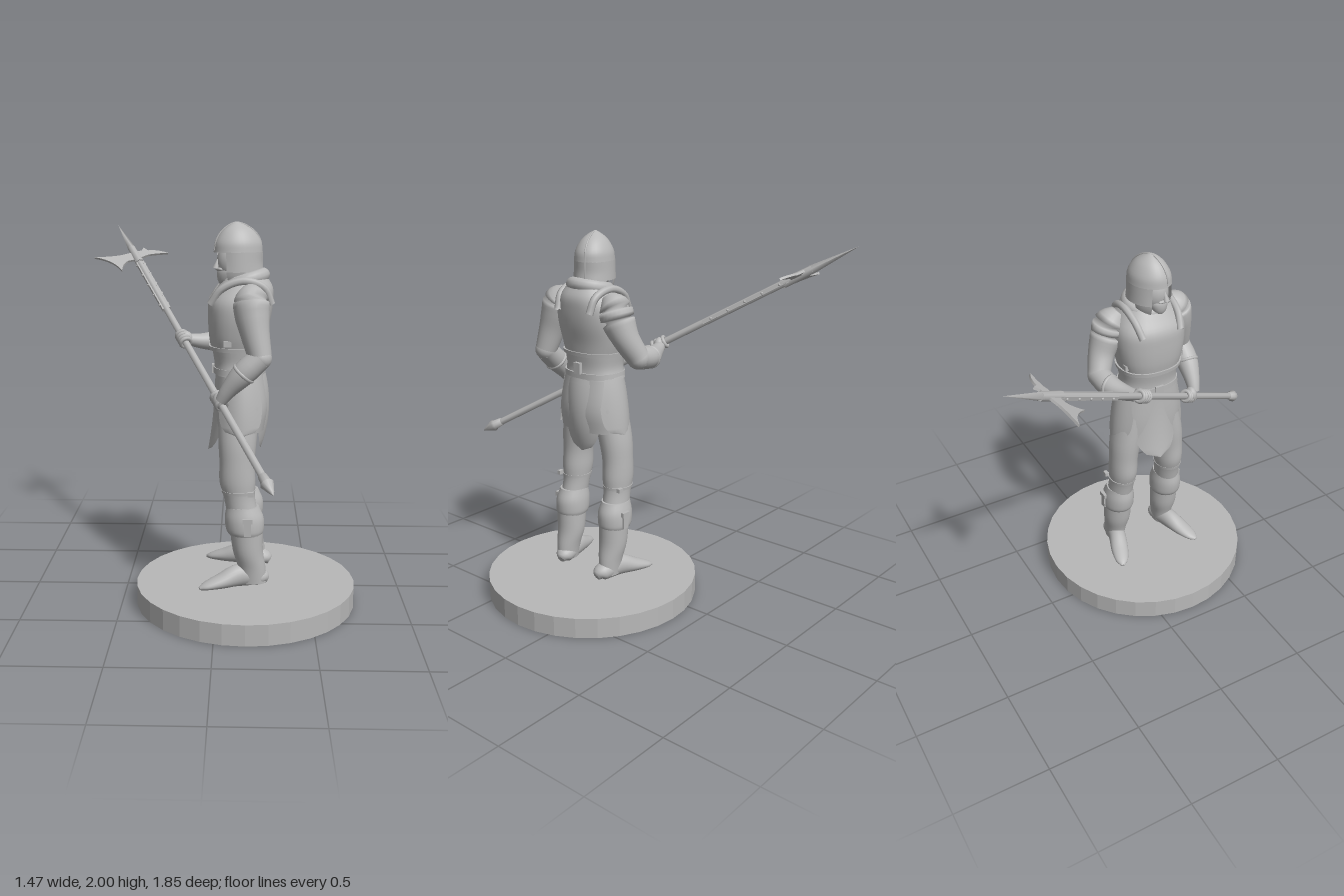
import * as THREE from 'three';

const steel = new THREE.MeshStandardMaterial({ color: 0xb8b8b8, side: THREE.DoubleSide });
steel.name = 'plain grey';

const V = (x, y, z) => new THREE.Vector3(x, y, z);
const UP = V(0, 1, 0);
const BODY_Z = 0.185;

function add(parent, name, geometry, pos) {
  const mesh = new THREE.Mesh(geometry, steel);
  mesh.name = name;
  if (pos) mesh.position.set(...pos);
  parent.add(mesh);
  return mesh;
}

// Smooth skin over elliptical sections [x, y, z, ru, rv]; flat rings (listed bottom up) or rings along the path
function loft(sections, { along = false, from = 0, to = Math.PI * 2, caps = true, sides = 24, square = 1, steps = 4 } = {}) {
  const closed = to - from > 6.28;
  const centre = new THREE.CatmullRomCurve3(sections.map(s => V(s[0], s[1], s[2])), false, 'catmullrom', 0.5);
  const radius = new THREE.CatmullRomCurve3(sections.map(s => V(s[3], s[4] ?? s[3], 0)), false, 'catmullrom', 0.5);
  const rows = (sections.length - 1) * steps, cols = closed ? sides : sides + 1;
  const pos = [], index = [];
  const soft = c => Math.sign(c) * Math.pow(Math.abs(c), square);
  for (let i = 0; i <= rows; i++) {
    const c = centre.getPoint(i / rows), r = radius.getPoint(i / rows);
    let u = V(1, 0, 0), v = V(0, 0, 1);
    if (along) {
      const t = centre.getTangent(i / rows);
      u = V().crossVectors(t, Math.abs(t.y) > 0.93 ? V(1, 0, 0) : UP).normalize();
      v = V().crossVectors(u, t);
    }
    for (let j = 0; j < cols; j++) {
      const a = from + (to - from) * j / sides;
      const p = c.clone().addScaledVector(u, Math.max(r.x, 0) * soft(Math.cos(a))).addScaledVector(v, Math.max(r.y, 0) * soft(Math.sin(a)));
      pos.push(p.x, p.y, p.z);
    }
  }
  for (let i = 0; i < rows; i++) for (let j = 0; j < sides; j++) {
    const a = i * cols + j, b = i * cols + (j + 1) % cols, c = a + cols, d = b + cols;
    index.push(a, c, b, b, c, d);
  }
  if (caps && closed) for (const row of [0, rows]) {
    const base = pos.length / 3, c = centre.getPoint(row / rows);
    pos.push(...pos.slice(row * cols * 3, (row + 1) * cols * 3), c.x, c.y, c.z);
    for (let j = 0; j < cols; j++) {
      const a = base + j, b = base + (j + 1) % cols;
      index.push(base + cols, ...(row ? [b, a] : [a, b]));
    }
  }
  const g = new THREE.BufferGeometry();
  g.setAttribute('position', new THREE.Float32BufferAttribute(pos, 3));
  g.setIndex(index);
  g.computeVertexNormals();
  return g;
}

// Curved hanging plate facing local +x, with a rounded lower edge
function flapGeometry(top, mid, bottom, y0, y1, width, power) {
  const g = new THREE.PlaneGeometry(2, 1, 10, 14), p = g.attributes.position;
  for (let i = 0; i < p.count; i++) {
    const s = p.getX(i), v = 0.5 - p.getY(i);
    const w = width * (0.8 + 0.35 * Math.min(v * 2, 1)) * Math.sqrt(Math.max(0, 1 - Math.pow(v, power)));
    const out = (1 - v) ** 2 * top + 2 * v * (1 - v) * mid + v * v * bottom;
    p.setXYZ(i, out - 0.045 * (s * w / width) ** 2, y0 + (y1 - y0) * v, -s * w);
  }
  g.computeVertexNormals();
  return g;
}

function buildHead() {
  const head = new THREE.Group();
  head.name = 'head';
  head.position.set(0.11, 0, BODY_Z);
  head.rotation.y = 0.33;
  add(head, 'face', new THREE.SphereGeometry(1, 24, 16), [-0.02, 1.8, 0]).scale.set(0.09, 0.105, 0.078);
  add(head, 'neck', new THREE.CylinderGeometry(0.065, 0.075, 0.16, 20), [0.02, 1.72, 0]);
  add(head, 'beard', loft([[-0.075, 1.675, 0, 0.008, 0.012], [-0.065, 1.71, 0, 0.04, 0.04], [-0.055, 1.755, 0, 0.052, 0.058], [-0.04, 1.79, 0, 0.045, 0.055]]));
  const nose = add(head, 'nose', new THREE.ConeGeometry(0.017, 0.06, 8), [-0.11, 1.8, 0]);
  nose.rotation.z = -0.25;
  add(head, 'moustache', new THREE.SphereGeometry(1, 16, 8), [-0.1, 1.767, 0]).scale.set(0.016, 0.011, 0.04);
  // helmet dome, open-faced lower shell and cheek plates
  add(head, 'helmetDome', loft([[0, 1.85, 0, 0.125, 0.103], [0, 1.9, 0, 0.118, 0.095], [-0.002, 1.95, 0, 0.085, 0.068], [-0.006, 1.982, 0, 0.042, 0.034], [-0.01, 2.0, 0, 0.001, 0.001]], { caps: false, sides: 32 }));
  add(head, 'helmetShell', loft([[0.002, 1.755, 0, 0.127, 0.107], [0, 1.8, 0, 0.123, 0.105], [0, 1.852, 0, 0.125, 0.103]], { from: -2.35, to: 2.35, sides: 28 }));
  for (const s of [1, -1]) {
    const mid = s * 1.95;
    add(head, 'cheekPlate', loft([[0.005, 1.69, 0, 0.1, 0.085], [0, 1.73, 0, 0.115, 0.098], [0.002, 1.77, 0, 0.126, 0.106]], { from: mid - 0.4, to: mid + 0.4, sides: 8 }));
  }
  const crest = new THREE.CatmullRomCurve3([V(-0.124, 1.86, 0), V(-0.115, 1.91, 0), V(-0.08, 1.96, 0), V(-0.01, 1.995, 0), V(0.075, 1.96, 0), V(0.115, 1.91, 0), V(0.124, 1.86, 0), V(0.127, 1.76, 0)]);
  add(head, 'helmetRidge', new THREE.TubeGeometry(crest, 30, 0.005, 6));
  return head;
}

function buildTorso() {
  const torso = new THREE.Group(), z = BODY_Z;
  torso.name = 'torso';
  add(torso, 'cuirass', loft([[0.11, 1.375, z, 0.138, 0.165], [0.11, 1.44, z, 0.148, 0.182], [0.118, 1.53, z, 0.16, 0.195], [0.125, 1.61, z, 0.162, 0.19], [0.145, 1.675, z, 0.14, 0.155], [0.15, 1.73, z, 0.105, 0.11]], { square: 0.85, sides: 32 }));
  add(torso, 'cuirassRim', loft([[0.11, 1.365, z, 0.146, 0.174], [0.11, 1.385, z, 0.148, 0.177]], { square: 0.85, sides: 32 }));
  add(torso, 'fauld', loft([[0.118, 1.24, z, 0.128, 0.17], [0.115, 1.3, z, 0.125, 0.156], [0.112, 1.375, z, 0.135, 0.164]], { square: 0.85, sides: 32 }));
  add(torso, 'belt', loft([[0.118, 1.245, z, 0.133, 0.167], [0.118, 1.275, z, 0.133, 0.164]], { square: 0.85, sides: 32 }));
  add(torso, 'beltBuckle', new THREE.BoxGeometry(0.02, 0.045, 0.05), [-0.012, 1.26, z]);
  add(torso, 'backStrap', new THREE.BoxGeometry(0.02, 0.06, 0.04), [0.25, 1.3, z]);
  const scarf = add(torso, 'scarf', new THREE.TorusGeometry(0.092, 0.036, 12, 28), [0.145, 1.715, z]);
  scarf.rotation.set(Math.PI / 2, 0.25, 0);
  for (const s of [1, -1]) {
    const strap = new THREE.CatmullRomCurve3([V(-0.025, 1.6, z + s * 0.11), V(0.03, 1.675, z + s * 0.125), V(0.14, 1.715, z + s * 0.13), V(0.24, 1.68, z + s * 0.12), V(0.275, 1.6, z + s * 0.11)]);
    add(torso, 'shoulderStrap', new THREE.TubeGeometry(strap, 20, 0.02, 8));
    add(torso, 'sideBuckle', new THREE.BoxGeometry(0.04, 0.03, 0.02), [0.06, 1.41, z + s * 0.165]);
  }
  // skirt with overlapping flaps
  add(torso, 'skirt', loft([[0.125, 0.955, z, 0.125, 0.195], [0.13, 1.08, z, 0.135, 0.195], [0.12, 1.25, z, 0.122, 0.167]], { caps: false, square: 0.85, sides: 32 }));
  const flaps = [['frontFlap', Math.PI, 0.13, 0.13, 0.168, 0.83, 0.12, 5], ['backFlap', 0, 0.125, 0.18, 0.105, 0.84, 0.115, 4],
    ['leftHipPlate', -Math.PI / 2, 0.17, 0.21, 0.215, 0.945, 0.095, 9], ['rightHipPlate', Math.PI / 2, 0.17, 0.21, 0.215, 0.945, 0.095, 9]];
  for (const [name, yaw, top, mid, bottom, y1, width, power] of flaps) {
    add(torso, name, flapGeometry(top, mid, bottom, 1.25, y1, width, power), [0.125, 0, z]).rotation.y = yaw;
  }
  return torso;
}

function buildLeg(side) {
  const leg = new THREE.Group();
  leg.name = side > 0 ? 'leftLeg' : 'rightLeg';
  const flip = list => list.map(([x, y, z, ...r]) => [x, y, 0.18 + side * (z - 0.18), ...r]);
  const part = (name, list, options) => add(leg, name, loft(flip(list), options));
  part('thigh', [[0.14, 0.53, 0.335, 0.08, 0.068], [0.122, 0.62, 0.33, 0.08, 0.07], [0.112, 0.7, 0.328, 0.092, 0.077], [0.11, 0.8, 0.325, 0.09, 0.078], [0.112, 0.92, 0.31, 0.098, 0.085], [0.12, 1.1, 0.275, 0.105, 0.085]]);
  part('kneeGuard', [[0.155, 0.425, 0.338, 0.088, 0.08], [0.152, 0.45, 0.338, 0.098, 0.087], [0.148, 0.51, 0.337, 0.1, 0.085], [0.14, 0.57, 0.335, 0.083, 0.072]]);
  part('bootShaft', [[0.195, 0.16, 0.34, 0.07, 0.05], [0.188, 0.24, 0.338, 0.072, 0.06], [0.168, 0.33, 0.337, 0.078, 0.076], [0.16, 0.44, 0.338, 0.085, 0.078]]);
  const foot = part('foot', [[0.268, 0.165, 0.325, 0.02, 0.02], [0.235, 0.185, 0.33, 0.05, 0.045], [0.13, 0.2, 0.35, 0.05, 0.06], [0.03, 0.177, 0.385, 0.05, 0.038], [-0.045, 0.16, 0.412, 0.036, 0.02], [-0.08, 0.15, 0.425, 0.01, 0.008]], { along: true });
  if (side < 0) foot.position.set(0.02, -0.008, 0);
  part('garter', [[0.118, 0.64, 0.33, 0.085, 0.075], [0.117, 0.655, 0.33, 0.087, 0.077]]);
  const z = 0.18 + side * 0.245;
  add(leg, 'garterKnot', new THREE.BoxGeometry(0.03, 0.022, 0.02), [0.18, 0.65, z - side * 0.025]);
  add(leg, 'kneeStrap', new THREE.BoxGeometry(0.035, 0.09, 0.014), [0.165, 0.48, z]);
  add(leg, 'kneeBuckle', new THREE.BoxGeometry(0.05, 0.025, 0.02), [0.165, 0.515, z]);
  return leg;
}

// Polearm line, butt to tip
const BUTT = V(0.28, 0.81, 0.92), TIP = V(-0.63, 1.94, -0.93);
const AXIS = TIP.clone().sub(BUTT).normalize();
const gripPoint = x => BUTT.clone().lerp(TIP, (BUTT.x - x) / (BUTT.x - TIP.x));

function buildArm(name, upper, fore, gripX) {
  const arm = new THREE.Group();
  arm.name = name;
  add(arm, 'upperArm', loft(upper, { along: true }));
  add(arm, 'forearm', loft(fore, { along: true }));
  const e = fore[0];
  add(arm, 'elbow', new THREE.SphereGeometry(e[3], 18, 12), e.slice(0, 3));
  // cuff, palm and fingers closed round the shaft
  const a = V(...fore[1].slice(0, 3)), b = V(...fore[2].slice(0, 3)), grip = gripPoint(gripX);
  const cuff = add(arm, 'cuff', new THREE.TorusGeometry(fore[1][3] * 0.92, 0.01, 8, 24), a.toArray());
  cuff.quaternion.setFromUnitVectors(V(0, 0, 1), b.clone().sub(a).normalize());
  const wrist = V(...fore[fore.length - 1].slice(0, 3));
  add(arm, 'palm', new THREE.SphereGeometry(0.038, 16, 12), wrist.lerp(grip, 0.5).toArray()).scale.set(1, 1.15, 0.8);
  for (let i = 0; i < 4; i++) {
    const finger = add(arm, 'finger', new THREE.TorusGeometry(0.027, 0.011, 8, 16), grip.clone().addScaledVector(AXIS, (i - 1.5) * 0.022).toArray());
    finger.quaternion.setFromUnitVectors(V(0, 0, 1), AXIS);
  }
  return arm;
}

function buildHalberd() {
  const halberd = new THREE.Group();
  halberd.name = 'halberd';
  // local y runs along the shaft, local x towards the axe blade
  const sideways = V(-0.34, -0.07, 0.1);
  sideways.addScaledVector(AXIS, -sideways.dot(AXIS)).normalize();
  halberd.quaternion.setFromRotationMatrix(new THREE.Matrix4().makeBasis(sideways, AXIS, V().crossVectors(sideways, AXIS)));
  halberd.position.copy(BUTT);
  const length = BUTT.distanceTo(TIP), h = 2.01;
  add(halberd, 'shaft', new THREE.CylinderGeometry(0.019, 0.019, 2.02, 8), [0, 1.06, 0]);
  const profile = [[0, 0], [0.012, 0.02], [0.034, 0.075], [0.026, 0.085], [0.022, 0.13], [0, 0.13]];
  add(halberd, 'buttCap', new THREE.LatheGeometry(profile.map(p => new THREE.Vector2(...p)), 10));
  add(halberd, 'socket', new THREE.CylinderGeometry(0.022, 0.026, 0.16, 8), [0, h, 0]);
  add(halberd, 'spearPoint', new THREE.ConeGeometry(0.024, length - h - 0.07, 4), [0, (length + h + 0.07) / 2, 0]);
  for (const s of [1, -1]) {
    add(halberd, 'langet', new THREE.BoxGeometry(0.008, 0.5, 0.02), [s * 0.019, h - 0.3, 0]);
    for (let i = 0; i < 5; i++) add(halberd, 'rivet', new THREE.SphereGeometry(0.007, 8, 6), [s * 0.024, h - 0.5 + i * 0.1, 0]);
  }
  const blade = new THREE.Shape();
  blade.moveTo(0.0, 0.03);
  blade.lineTo(0.07, 0.03);
  blade.quadraticCurveTo(0.13, 0.035, 0.23, 0.075);
  blade.quadraticCurveTo(0.135, 0.0, 0.12, -0.115);
  blade.quadraticCurveTo(0.1, -0.055, 0.06, -0.04);
  blade.lineTo(0.0, -0.045);
  const hook = new THREE.Shape();
  hook.moveTo(0.0, 0.035);
  hook.lineTo(-0.045, 0.025);
  hook.lineTo(-0.065, 0.05);
  hook.lineTo(-0.08, 0.012);
  hook.quadraticCurveTo(-0.13, 0.0, -0.18, -0.06);
  hook.quadraticCurveTo(-0.11, -0.035, -0.07, -0.03);
  hook.lineTo(0.0, -0.04);
  for (const [name, shape] of [['axeBlade', blade], ['backHook', hook]]) {
    add(halberd, name, new THREE.ExtrudeGeometry(shape, { depth: 0.012, bevelEnabled: false, curveSegments: 10 }), [0, h, -0.006]);
  }
  return halberd;
}

export function createModel() {
  const model = new THREE.Group();
  model.name = 'halberdier';
  const disc = new THREE.CylinderGeometry(0.58, 0.58, 0.11, 32).toNonIndexed();
  disc.computeVertexNormals();
  add(model, 'base', disc, [0.155, 0.055, 0.19]);
  model.add(buildTorso(), buildHead(), buildLeg(1), buildLeg(-1), buildHalberd());
  model.add(buildArm('leftArm',
    [[0.17, 1.68, 0.33, 0.04], [0.175, 1.63, 0.375, 0.085], [0.18, 1.56, 0.395, 0.086], [0.195, 1.47, 0.42, 0.072], [0.22, 1.36, 0.445, 0.058]],
    [[0.22, 1.355, 0.447, 0.058], [0.14, 1.28, 0.452, 0.06], [0.07, 1.2, 0.445, 0.042], [0.03, 1.14, 0.435, 0.03]], 0.02));
  model.add(buildArm('rightArm',
    [[0.17, 1.68, 0.04, 0.04], [0.172, 1.63, -0.005, 0.085], [0.17, 1.56, -0.03, 0.086], [0.155, 1.47, -0.07, 0.07], [0.11, 1.375, -0.11, 0.06]],
    [[0.11, 1.375, -0.11, 0.06], [0.01, 1.36, -0.1, 0.058], [-0.08, 1.362, -0.065, 0.042], [-0.155, 1.375, -0.035, 0.03]], -0.18));
  return model;
}
